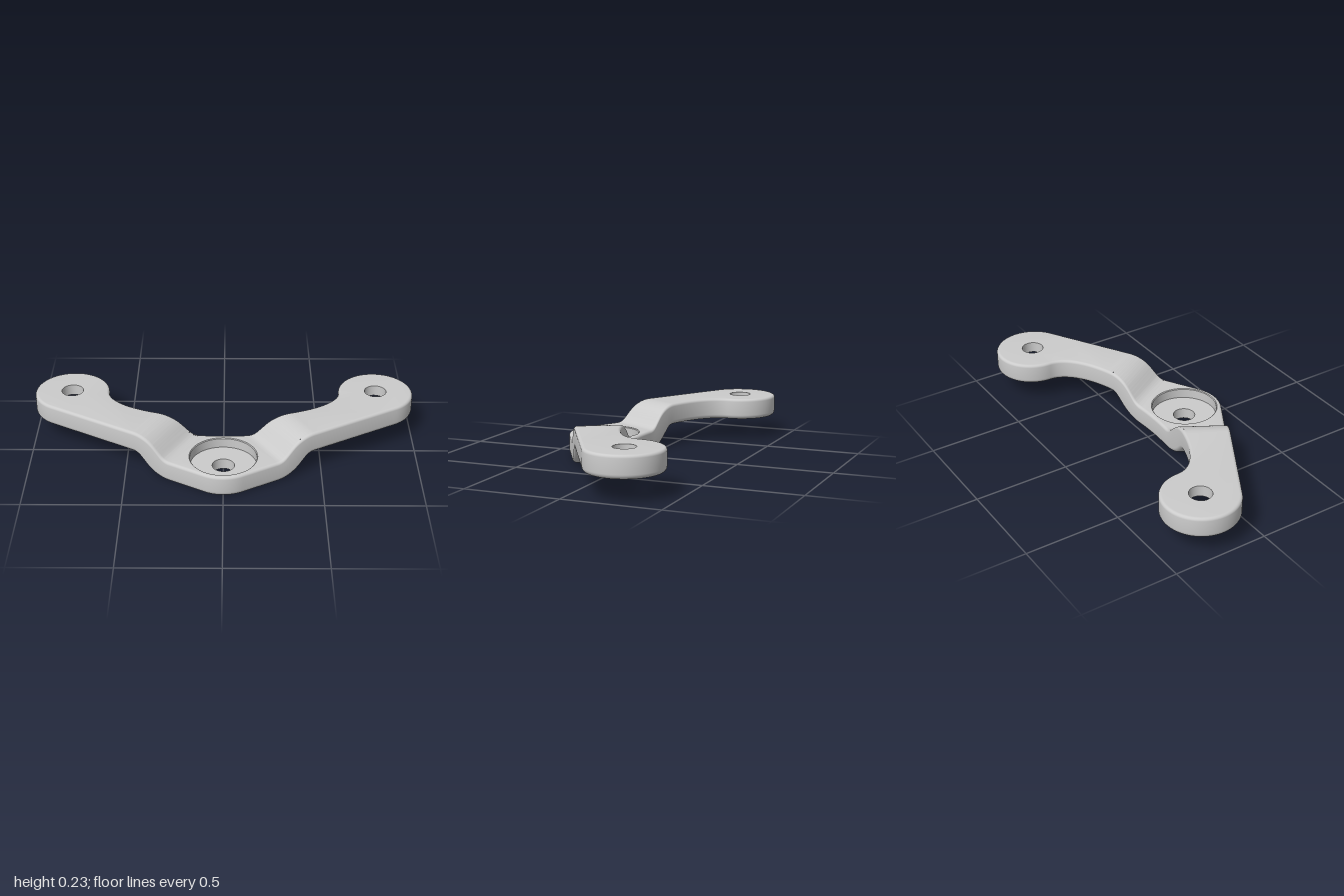
import * as THREE from 'three';
import { toCreasedNormals } from 'three/addons/utils/BufferGeometryUtils.js';

const C = Math.cos(Math.PI / 6), S = 0.5;      // arms sweep back at 30 degrees
const HUB = [0, 0.23], POD = [0.804, -0.234];  // hole centres (x, z)
const R = 0.196, THICK = 0.113, RISE = 0.112;
const STEP0 = 0.205, BEND_IN = 0.07, BEND_OUT = BEND_IN + THICK; // step start and bend radii
const SLOPE = Math.SQRT1_2;                    // the step climbs at 45 degrees
const RAMP = RISE - (BEND_IN + BEND_OUT) * (1 - SLOPE);
const STEP1 = STEP0 + (BEND_IN + BEND_OUT) * SLOPE + RAMP;
const TOP_R = 0.015, BOTTOM_R = 0.024;         // edge rounding
const HOLE = 0.057, HUB_POCKET = 0.17, POD_POCKET = 0.166, DEPTH = 0.055, LIP = 0.004;

// distance along the right (side = -1) or left (side = 1) arm
const along = (x, z, side) => side * x * C - (z - HUB[1]) * S;

// step of the upper face: tight concave bend, 45 degree ramp, wide convex bend
function step(s) {
  if (s <= STEP0) return 0;
  if (s >= STEP1) return RISE;
  const a = s - STEP0, b = STEP1 - s;
  if (a < BEND_IN * SLOPE) return BEND_IN - Math.sqrt(BEND_IN ** 2 - a * a);
  if (b < BEND_OUT * SLOPE) return RISE - BEND_OUT + Math.sqrt(BEND_OUT ** 2 - b * b);
  return BEND_IN * (1 - SLOPE) + a - BEND_IN * SLOPE;
}

// height of the upper or lower face; the lower step is the upper one turned half round
function lift(x, z, up) {
  const s = along(Math.abs(x), z, 1);
  return up ? step(s) : RISE - step(STEP0 + STEP1 - s);
}

// plan outline as points with outward normals, front tip first, half then mirrored
function makeOutline() {
  const half = [];
  const arc = (c, from, to, n) => {
    for (let i = 0; i < n; i++) {
      const a = from + (to - from) * i / n;
      half.push({ x: c[0] + R * Math.cos(a), z: c[1] + R * Math.sin(a), nx: Math.cos(a), nz: Math.sin(a) });
    }
  };
  const q = Math.PI / 3;
  arc(HUB, Math.PI / 2, q, 8);
  for (let i = 0; i < 70; i++) {               // straight front edge
    const t = i / 70;
    half.push({
      x: THREE.MathUtils.lerp(HUB[0], POD[0], t) + R * S,
      z: THREE.MathUtils.lerp(HUB[1], POD[1], t) + R * C, nx: S, nz: C,
    });
  }
  arc(POD, q, -Math.PI, 56);
  const a = POD[0] - R, b = 0.03 - POD[1];     // elliptical back edge
  for (let i = 0; i <= 60; i++) {
    const t = i / 60 * Math.PI / 2;
    const n = new THREE.Vector2(-Math.cos(t) / a, -Math.sin(t) / b).normalize();
    half.push({ x: a * Math.cos(t), z: POD[1] + b * Math.sin(t), nx: n.x, nz: n.y });
  }
  // the back curve faces away from the arm, toward +z of the ellipse interior
  const mirrored = half.slice(1, -1).reverse().map(p => ({ ...p, x: -p.x, nx: -p.nx }));
  return half.concat(mirrored);
}

// keep the part of a polygon where f >= 0
function clip(poly, f) {
  const out = [];
  poly.forEach((p, i) => {
    const q = poly[(i + 1) % poly.length], fp = f(p), fq = f(q);
    if (fp >= 0) out.push(p);
    if (fp * fq < 0) out.push(p.clone().lerp(q, fp / (fp - fq)));
  });
  return out;
}

const circle = (c, r) => Array.from({ length: 64 }, (_, i) => new THREE.Vector2(
  c[0] + r * Math.cos(i * Math.PI / 32), c[1] + r * Math.sin(i * Math.PI / 32)));

// flat or stepped face piece, facing up or down
function addPatch(out, poly, holes, y, up) {
  if (poly.length < 3) return;
  const pts = poly.concat(...holes);
  for (const tri of THREE.ShapeUtils.triangulateShape(poly, holes)) {
    const [a, b, c] = tri.map(i => pts[i]);
    const ccw = (b.x - a.x) * (c.y - a.y) - (b.y - a.y) * (c.x - a.x) > 0;
    for (const p of ccw === up ? [a, c, b] : [a, b, c]) out.push(p.x, y + lift(p.x, p.y, up), p.y);
  }
}

// whole top or bottom face: hub, stepped bands, end pads
function addFace(out, outline, inset, y, up) {
  const poly = outline.map(p => new THREE.Vector2(p.x - p.nx * inset, p.z - p.nz * inset));
  const d = (p, side) => along(p.x, p.y, side);
  let hub = poly;
  for (const side of [-1, 1]) {
    hub = clip(hub, p => STEP0 - d(p, side));
    const bands = 24, w = (STEP1 - STEP0) / bands;
    for (let i = 0; i < bands; i++) {
      const band = clip(clip(poly, p => d(p, side) - STEP0 - i * w), p => STEP0 + (i + 1) * w - d(p, side));
      addPatch(out, band, [], y, up);
    }
    const pad = clip(poly, p => d(p, side) - STEP1);
    addPatch(out, pad, [circle([side * POD[0], POD[1]], up ? HOLE : POD_POCKET)], y, up);
  }
  addPatch(out, hub, [circle(HUB, up ? HUB_POCKET + LIP : HOLE)], y, up);
}

// rounded rim swept around the outline
function addRim(out, outline) {
  const profile = [], n = 6;                   // [inset, height, belongs to upper face]
  for (let i = 0; i <= n; i++) {
    const a = i / n * Math.PI / 2;
    profile.push([TOP_R * (1 - Math.sin(a)), THICK - TOP_R * (1 - Math.cos(a)), true]);
  }
  for (let i = 0; i <= n; i++) {
    const a = i / n * Math.PI / 2;
    profile.push([BOTTOM_R * (1 - Math.cos(a)), BOTTOM_R * (1 - Math.sin(a)), false]);
  }
  const at = (p, [d, y, up]) => {
    const x = p.x - p.nx * d, z = p.z - p.nz * d;
    return [x, y + lift(x, z, up), z];
  };
  outline.forEach((p, i) => {
    const q = outline[(i + 1) % outline.length];
    for (let k = 0; k < profile.length - 1; k++) {
      const a = at(p, profile[k]), b = at(q, profile[k]);
      const c = at(q, profile[k + 1]), e = at(p, profile[k + 1]);
      out.push(...a, ...b, ...c, ...a, ...c, ...e);
    }
  });
}

// crease at a larger scale so close vertices stay separate
function crease(geo) {
  geo.scale(100, 100, 100);
  return toCreasedNormals(geo, 0.6).scale(0.01, 0.01, 0.01);
}

export function createModel() {
  const group = new THREE.Group();
  const material = new THREE.MeshStandardMaterial({ color: 0xcccccc });
  const add = (name, geo) => {
    const mesh = new THREE.Mesh(crease(geo), material);
    mesh.name = name;
    group.add(mesh);
    return mesh;
  };

  // stepped V-shaped plate
  const outline = makeOutline(), pos = [];
  addFace(pos, outline, TOP_R, THICK, true);
  addFace(pos, outline, BOTTOM_R, 0, false);
  addRim(pos, outline.slice().reverse());
  const plate = new THREE.BufferGeometry();
  plate.setAttribute('position', new THREE.Float32BufferAttribute(pos, 3));
  add('bracketPlate', plate);

  // counterbored holes: hub opens upward with a small lip, end pads open downward
  const bore = pts => new THREE.LatheGeometry(pts.map(p => new THREE.Vector2(...p)), 64);
  add('hubCounterbore', bore([
    [HUB_POCKET + LIP, THICK], [HUB_POCKET, THICK - LIP], [HUB_POCKET, THICK - DEPTH],
    [HOLE, THICK - DEPTH], [HOLE, 0],
  ])).position.set(HUB[0], 0, HUB[1]);
  for (const side of [-1, 1]) {
    add(side > 0 ? 'leftPadCounterbore' : 'rightPadCounterbore', bore([
      [HOLE, THICK], [HOLE, DEPTH], [POD_POCKET, DEPTH], [POD_POCKET, 0],
    ])).position.set(side * POD[0], RISE, POD[1]);
  }
  return group;
}
